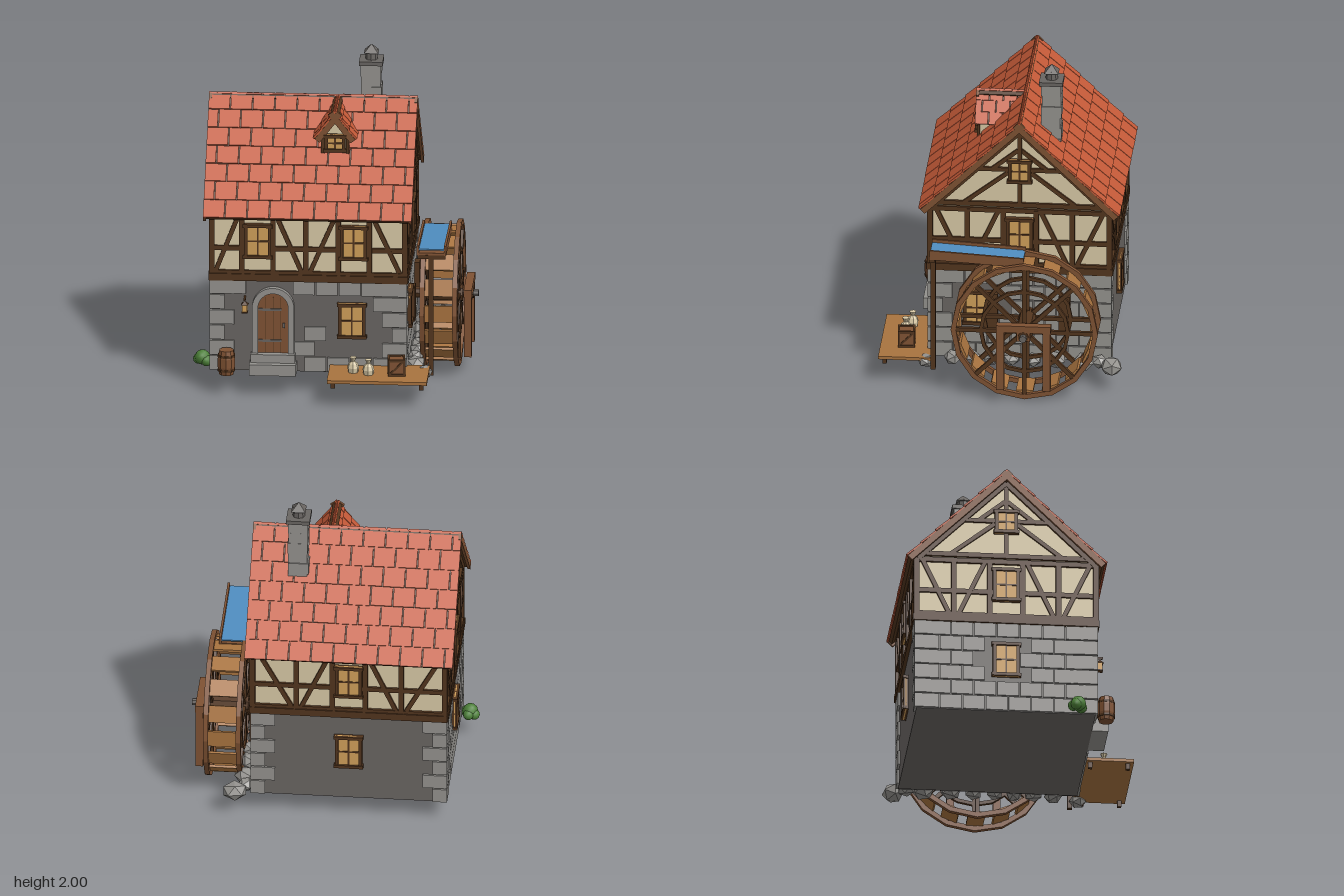
import * as THREE from 'three';

const mat = (name, color) => { const m = new THREE.MeshStandardMaterial({ color }); m.name = name; return m; };
const M = {
  plaster: mat('cream plaster', 0xd8c9a6), timber: mat('dark timber', 0x52351e), wood: mat('brown wood', 0x7f5233),
  plank: mat('light wood', 0xa8733f), roof: mat('red tile', 0xc45a38), stone: mat('light stone', 0x94928e),
  dark: mat('dark stone', 0x696562), glass: mat('amber glass', 0xd0a05a), water: mat('water', 0x4f8dc0),
  leaf: mat('leaf green', 0x4c8038),
};
let seed = 7;
const rnd = () => (seed = (seed * 16807) % 2147483647) / 2147483647;
const flat = g => { const n = g.index ? g.toNonIndexed() : g; n.computeVertexNormals(); return n; };

function add(parent, name, geo, m, x = 0, y = 0, z = 0) {
  const o = new THREE.Mesh(geo, m);
  o.name = name; o.position.set(x, y, z); parent.add(o);
  return o;
}
const box = (p, name, m, w, h, d, x, y, z) => add(p, name, new THREE.BoxGeometry(w, h, d), m, x, y, z);
function group(parent, name, x = 0, y = 0, z = 0, ry = 0) {
  const g = new THREE.Group();
  g.name = name; g.position.set(x, y, z); g.rotation.y = ry; parent.add(g);
  return g;
}
// straight bar between two points of a wall plane, standing d proud of it
function beam(p, name, m, u1, v1, u2, v2, w = 0.03, d = 0.016) {
  const o = box(p, name, m, Math.hypot(u2 - u1, v2 - v1), w, d, (u1 + u2) / 2, (v1 + v2) / 2, d / 2);
  o.rotation.z = Math.atan2(v2 - v1, u2 - u1);
  return o;
}
function windowAt(p, u, v, w, h) {
  const g = group(p, 'window', u, v);
  box(g, 'windowPane', M.glass, w, h, 0.008, 0, 0, 0.016);
  for (const s of [-1, 1]) {
    box(g, 'windowJamb', M.timber, 0.02, h, 0.03, s * (w / 2 - 0.01), 0, 0.015);
    box(g, 'windowRail', M.timber, w + 0.015, 0.02, 0.034, 0, s * (h / 2 - 0.01), 0.017);
  }
  box(g, 'mullion', M.timber, 0.01, h, 0.022, 0, 0, 0.013);
  box(g, 'mullion', M.timber, w, 0.01, 0.022, 0, 0, 0.013);
}
// one roof slope: local z runs down from the ridge, local x along it
function slope(parent, ry, angle, len, width, rows, tileW) {
  const turn = group(parent, 'roofSide', 0, 0, 0, ry), g = group(turn, 'slope');
  g.rotation.x = angle;
  box(g, 'roofBoard', M.timber, width - 0.02, 0.025, len - 0.01, 0, -0.028, len / 2);
  const rowL = len / rows;
  for (let r = 0; r < rows; r++) {
    for (let x = -width / 2 - (r % 2) * tileW / 2; x < width / 2 - 0.005; x += tileW) {
      const a = Math.max(x, -width / 2), b = Math.min(x + tileW, width / 2);
      if (b - a < 0.01) continue;
      const t = box(g, 'roofTile', M.roof, b - a - 0.007, 0.011, rowL - 0.004 + rnd() * 0.008, (a + b) / 2, -0.009, (r + 0.5) * rowL);
      t.rotation.x = -0.06;
    }
  }
  for (const s of [-1, 1]) box(g, 'bargeBoard', M.wood, 0.018, 0.038, len, s * (width / 2 - 0.012), -0.034, len / 2);
}

const CX = -0.147, CZ = -0.106, HW = 0.5875, HD = 0.548, BASE = 0.13, MID = 0.72;

function buildWall(root, name, ry, hw, off, o) {
  const f = group(root, name, CX + Math.sin(ry) * off, 0, CZ + Math.cos(ry) * off, ry);
  // timber frame
  for (const [v, w, d] of [[0.735, 0.045, 0.022], [0.768, 0.02, 0.016], [0.92, 0.03, 0.014], [1.125, 0.03, 0.016]])
    beam(f, 'rail', M.timber, -hw - 0.016, v, hw + 0.016, v, w, d);
  for (const u of [-hw, hw, ...o.posts]) beam(f, 'post', M.timber, u, MID, u, 1.13, 0.032, 0.018);
  for (const [a, b] of o.braces) beam(f, 'brace', M.timber, a, 0.77, b, 1.12, 0.027, 0.015);
  for (const u of o.upper) windowAt(f, u, 0.97, 0.165, 0.22);
  for (const u of o.lower) windowAt(f, u, 0.468, 0.165, 0.225);
  // masonry courses
  const rows = 6, h = (MID - BASE) / rows;
  for (let r = 0; r < rows; r++) {
    const v = BASE + (r + 0.5) * h;
    for (let u = -hw - (r % 2) * 0.07; u < hw; u += 0.14) {
      const a = Math.max(u, -hw), b = Math.min(u + 0.14, hw);
      const keep = rnd() < o.bricks(r);
      const blocked = o.lower.some(w => b > w - 0.08 && a < w + 0.08 && Math.abs(v - 0.468) < 0.14) ||
        (o.door !== undefined && b > o.door - 0.11 && a < o.door + 0.11);
      if (keep && !blocked && b - a > 0.03) box(f, 'wallStone', M.stone, b - a - 0.008, h - 0.008, 0.012, (a + b) / 2, v, 0.004);
    }
  }
  return f;
}

function buildGable(f) {
  beam(f, 'gableSill', M.timber, -0.52, 1.165, 0.52, 1.165, 0.03);
  beam(f, 'kingPost', M.timber, 0, 1.15, 0, 1.66, 0.026);
  beam(f, 'collar', M.timber, -0.27, 1.4, 0.27, 1.4, 0.026, 0.015);
  for (const s of [-1, 1]) {
    beam(f, 'rafter', M.timber, s * 0.54, 1.13, 0, 1.657, 0.035, 0.018);
    beam(f, 'gableBrace', M.timber, s * 0.34, 1.17, s * 0.07, 1.38, 0.025, 0.014);
    beam(f, 'gableBrace', M.timber, s * 0.17, 1.4, s * 0.01, 1.53, 0.025, 0.014);
  }
  windowAt(f, 0, 1.393, 0.14, 0.155);
}

function archShape(r, base, spring) {
  const s = new THREE.Shape();
  s.moveTo(-r, base); s.lineTo(r, base); s.lineTo(r, spring); s.absarc(0, spring, r, 0, Math.PI, false); s.lineTo(-r, base);
  return s;
}
function buildDoor(f, u) {
  const g = group(f, 'door', u);
  const ring = archShape(0.128, 0.2, 0.545);
  ring.holes.push(archShape(0.092, 0.2, 0.545));
  const ex = (s, depth) => new THREE.ExtrudeGeometry(s, { depth, bevelEnabled: false, curveSegments: 12 });
  add(g, 'doorSurround', ex(ring, 0.035), M.stone);
  add(g, 'doorLeaf', ex(archShape(0.093, 0.2, 0.545), 0.016), M.wood);
  for (const x of [-0.046, 0, 0.046]) box(g, 'plankGap', M.timber, 0.005, 0.36, 0.005, x, 0.43, 0.016);
  for (const y of [0.33, 0.53]) box(g, 'hinge', M.dark, 0.14, 0.014, 0.008, -0.02, y, 0.018);
  box(g, 'doorHandle', M.dark, 0.014, 0.03, 0.015, 0.065, 0.43, 0.02);
  box(g, 'step', M.stone, 0.27, 0.055, 0.06, 0, 0.225, 0.03);
  box(g, 'step', M.stone, 0.285, 0.07, 0.1, 0, 0.165, 0.05);
}

function buildWheel(root) {
  const g = group(root, 'waterWheel', 0.635, 0.45, -0.16, Math.PI / 2), N = 16, R = 0.45;
  const inR = R * Math.cos(Math.PI / N), len = 2 * R * Math.sin(Math.PI / N);
  const ring = (name, m, r, l, h, d, z, n, phase) => {
    for (let i = 0; i < n; i++) {
      const a = (i + phase) / n * Math.PI * 2;
      box(g, name, m, h, l, d, r * Math.cos(a), r * Math.sin(a), z).rotation.z = a;
    }
  };
  for (const z of [-0.1, 0.1]) {
    ring('rim', M.wood, inR - 0.015, len, 0.03, 0.03, z, N, 0.5);
    ring('innerRing', M.timber, 0.262, 0.106, 0.022, 0.022, z, N, 0.5);
    ring('spoke', M.timber, 0.215, 0.026, 0.42, 0.022, z, 8, 0);
  }
  ring('paddle', M.plank, 0.408, 0.105, 0.016, 0.18, 0, N, 0);
  const cyl = (name, r, l, m, z) => { add(g, name, flat(new THREE.CylinderGeometry(r, r, l, 8)), m, 0, 0, z).rotation.x = Math.PI / 2; };
  cyl('axle', 0.034, 0.38, M.timber, 0);
  cyl('hub', 0.055, 0.25, M.timber, 0);
  cyl('axleTip', 0.022, 0.08, M.dark, 0.18);
  // outer bearing frame and wall planks
  for (const x of [-0.142, 0.142]) box(g, 'bearingPost', M.wood, 0.046, 0.42, 0.046, x, -0.15, 0.163);
  box(g, 'bearingBeam', M.wood, 0.335, 0.045, 0.05, 0, 0.05, 0.163);
  box(g, 'bearingBlock', M.wood, 0.08, 0.06, 0.04, 0, 0, 0.163);
  for (const x of [-0.222, 0.222]) box(g, 'wallPlank', M.timber, 0.07, 0.225, 0.035, x, 0.008, -0.17);
}

function buildFlume(root) {
  const g = group(root, 'flume', 0.603, 0.9, 0.138);
  g.rotation.x = -0.055;
  box(g, 'flumeFloor', M.wood, 0.17, 0.015, 0.57, 0, -0.02, 0);
  for (const s of [-1, 1]) box(g, 'flumeSide', M.wood, 0.014, 0.06, 0.575, s * 0.083, 0.002, 0);
  box(g, 'flumeWater', M.water, 0.152, 0.008, 0.57, 0, 0.008, 0);
  box(root, 'flumeCrossbar', M.timber, 0.17, 0.025, 0.03, 0.603, 0.877, 0.41);
  box(root, 'flumePost', M.timber, 0.03, 0.77, 0.03, 0.6, 0.5, 0.41);
}

function buildYard(root) {
  // bench platform with its goods
  box(root, 'platform', M.plank, 0.61, 0.02, 0.32, 0.29, 0.17, 0.587);
  for (const x of [0.02, 0.56]) for (const z of [0.48, 0.71]) box(root, 'platformLeg', M.timber, 0.025, 0.04, 0.025, x, 0.142, z);
  const sack = [[0, 0], [0.032, 0], [0.037, 0.03], [0.028, 0.055], [0.011, 0.07], [0.022, 0.095], [0, 0.097]].map(p => new THREE.Vector2(...p));
  for (const [x, z] of [[0.135, 0.575], [0.23, 0.61]]) add(root, 'sack', flat(new THREE.LatheGeometry(sack, 7)), M.plaster, x, 0.18, z);
  const crate = group(root, 'crate', 0.4, 0.232, 0.59, 0.08);
  box(crate, 'crateBody', M.wood, 0.092, 0.092, 0.092, 0, 0, 0);
  for (let i = 0; i < 4; i++) {
    const s = group(crate, 'crateSide', 0, 0, 0, i * Math.PI / 2);
    for (const e of [-1, 1]) {
      box(s, 'crateEdge', M.timber, 0.106, 0.014, 0.014, 0, e * 0.046, 0.046);
      box(s, 'crateEdge', M.timber, 0.014, 0.1, 0.013, e * 0.046, 0, 0.046);
    }
    box(s, 'crateBrace', M.timber, 0.12, 0.012, 0.008, 0, 0, 0.046).rotation.z = 0.78;
  }
  // barrel
  const stave = [[0, 0], [0.045, 0], [0.055, 0.05], [0.055, 0.105], [0.045, 0.155], [0, 0.152]].map(p => new THREE.Vector2(...p));
  add(root, 'barrel', flat(new THREE.LatheGeometry(stave, 10)), M.wood, -0.642, BASE, 0.515);
  for (const y of [0.03, 0.12]) add(root, 'barrelHoop', flat(new THREE.CylinderGeometry(0.055, 0.055, 0.014, 10)), M.timber, -0.642, BASE + y, 0.515);
  // bush and boulders
  for (const [x, y, z, r] of [[-0.8, 0.17, 0.33, 0.048], [-0.825, 0.155, 0.315, 0.034], [-0.775, 0.155, 0.35, 0.036], [-0.79, 0.16, 0.3, 0.034]])
    add(root, 'bush', new THREE.IcosahedronGeometry(r, 1), M.leaf, x, y, z);
  const rocks = [[0.56, 0.455, 0.05], [0.5, 0.3, 0.055], [0.49, 0.18, 0.05], [0.5, 0.06, 0.05], [0.49, -0.06, 0.05], [0.5, -0.19, 0.05],
    [0.49, -0.33, 0.06], [0.5, -0.5, 0.065], [0.49, -0.6, 0.05], [0.55, -0.675, 0.07]];
  for (const [x, z, r] of rocks) {
    const o = add(root, 'boulder', new THREE.IcosahedronGeometry(r, 0), M.stone, x, 0.15, z);
    o.scale.set(1, 0.85, 1.15); o.rotation.y = rnd() * 6;
  }
}

export function createModel() {
  const root = new THREE.Group();
  root.name = 'watermill';
  seed = 7;

  // stone storey and plastered upper storey with gables
  box(root, 'stoneStorey', M.dark, HW * 2, MID - BASE, HD * 2, CX, (MID + BASE) / 2, CZ);
  const s = new THREE.Shape([[-HD, MID], [HD, MID], [HD, 1.135], [0, 1.668], [-HD, 1.135]].map(p => new THREE.Vector2(...p)));
  const body = new THREE.ExtrudeGeometry(s, { depth: HW * 2, bevelEnabled: false }).rotateY(Math.PI / 2);
  add(root, 'upperStorey', body, M.plaster, CX - HW, 0, CZ);

  const half = h => ({ posts: [-0.32, -0.1, 0.1, 0.32], upper: [0], braces: [[-0.35, -h], [-0.29, -0.13], [0.29, 0.13], [0.35, h]] });
  const front = buildWall(root, 'frontWall', 0, HW, HD, {
    posts: [-0.405, -0.215, -0.015, 0.182, 0.372], upper: [-0.308, 0.277], lower: [0.267], door: -0.213,
    braces: [[-0.565, -0.43], [-0.04, -0.19], [0.01, 0.16], [0.56, 0.4]], bricks: r => (r === 0 || r === 5 ? 0.8 : 0.28) });
  buildDoor(front, -0.213);
  buildWall(root, 'backWall', Math.PI, HW, HD, { ...half(0.54), lower: [0], bricks: () => 0 });
  buildGable(buildWall(root, 'rightWall', Math.PI / 2, HD, HW, { ...half(0.51), lower: [-0.261], bricks: () => 1 }));
  buildGable(buildWall(root, 'leftWall', -Math.PI / 2, HD, HW, { ...half(0.51), lower: [0], bricks: () => 1 }));

  // corner stones
  const qh = (MID - BASE) / 6;
  for (const sx of [-1, 1]) for (const sz of [-1, 1]) for (let r = 0; r < 6; r++) {
    const w = r % 2 ? 0.15 : 0.09, d = r % 2 ? 0.09 : 0.15;
    box(root, 'cornerStone', M.stone, w, qh - 0.008, d, CX + sx * (HW + 0.014 - w / 2), BASE + (r + 0.5) * qh, CZ + sz * (HD + 0.014 - d / 2));
  }

  // lantern by the door
  const lamp = group(front, 'lantern', -0.385, 0.555, 0.035);
  box(lamp, 'lanternBracket', M.timber, 0.012, 0.012, 0.065, 0, 0.05, -0.005);
  box(lamp, 'lanternGlass', M.glass, 0.03, 0.045, 0.03, 0, -0.008, 0.01);
  add(lamp, 'lanternCap', flat(new THREE.ConeGeometry(0.03, 0.025, 4)), M.timber, 0, 0.027, 0.01).rotation.y = Math.PI / 4;
  box(lamp, 'lanternBase', M.timber, 0.036, 0.008, 0.036, 0, -0.034, 0.01);

  // main roof
  const roof = group(root, 'roof', -0.15, 1.737, CZ);
  for (const ry of [0, Math.PI]) slope(roof, ry, 0.773, 0.86, 1.28, 7, 0.136);

  // dormer
  const ds = new THREE.Shape([[-0.085, 1.44], [0.085, 1.44], [0.085, 1.58], [0, 1.69], [-0.085, 1.58]].map(p => new THREE.Vector2(...p)));
  add(root, 'dormerBody', new THREE.ExtrudeGeometry(ds, { depth: 0.25, bevelEnabled: false }), M.plaster, 0, 0, -0.08);
  const df = group(root, 'dormerFront', 0, 0, 0.17);
  windowAt(df, 0, 1.517, 0.125, 0.11);
  for (const k of [-1, 1]) {
    beam(df, 'dormerPost', M.timber, k * 0.076, 1.45, k * 0.076, 1.58, 0.02);
    beam(df, 'dormerRafter', M.timber, k * 0.115, 1.545, 0, 1.695, 0.025, 0.02);
  }
  const dr = group(root, 'dormerRoof', 0, 1.732, 0.045, Math.PI / 2);
  for (const ry of [0, Math.PI]) slope(dr, ry, 0.92, 0.225, 0.31, 3, 0.085);

  // chimney
  const ch = group(root, 'chimney', 0.193, 0, -0.28);
  for (let i = 0; i < 6; i++) {
    const w = 0.118 + (i % 2) * 0.006;
    box(ch, 'chimneyCourse', M.stone, w, 0.074, w, (rnd() - 0.5) * 0.006, 1.487 + i * 0.072, (rnd() - 0.5) * 0.006);
  }
  box(ch, 'chimneyCap', M.dark, 0.145, 0.025, 0.145, 0, 1.893, 0);
  add(ch, 'flue', flat(new THREE.CylinderGeometry(0.035, 0.038, 0.06, 8)), M.dark, 0, 1.932, 0);
  add(ch, 'cowl', flat(new THREE.ConeGeometry(0.062, 0.05, 4)), M.dark, 0, 1.975, 0).rotation.y = Math.PI / 4;

  buildWheel(root);
  buildFlume(root);
  buildYard(root);
  return root;
}
